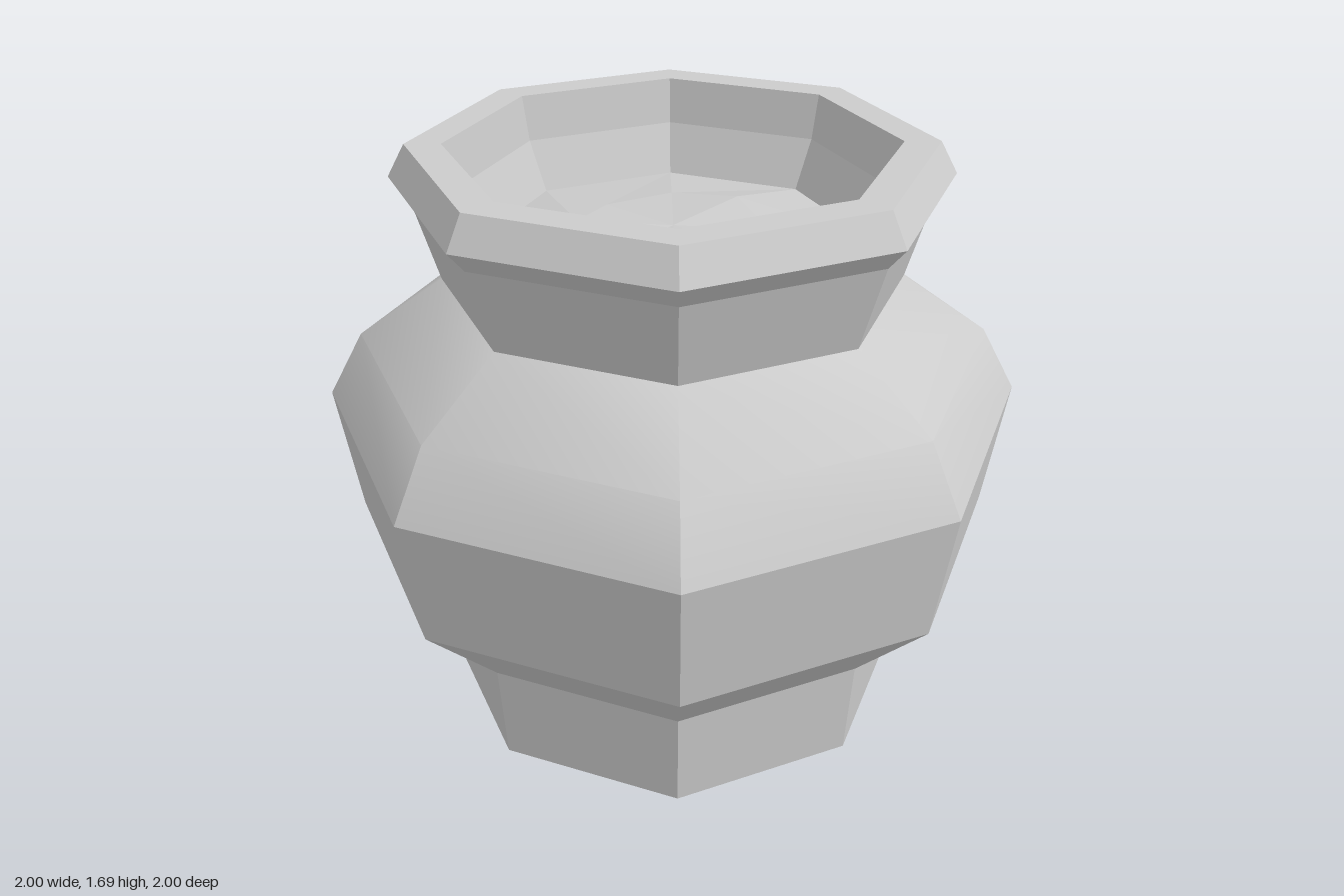
import * as THREE from 'three';
import { toCreasedNormals } from 'three/addons/utils/BufferGeometryUtils.js';

const SIDES = 8;

export function createModel() {
  const group = new THREE.Group();
  const flat = new THREE.MeshStandardMaterial({ color: 0xcccccc, flatShading: true });
  const smooth = new THREE.MeshStandardMaterial({ color: 0xcccccc });

  const add = (name, geometry, material = flat) => {
    const mesh = new THREE.Mesh(geometry, material);
    mesh.name = name;
    group.add(mesh);
  };
  // Eight-sided band from [radius, height] pairs
  const band = (profile) =>
    new THREE.LatheGeometry(profile.map(([r, y]) => new THREE.Vector2(r, y)), SIDES);

  add('foot', band([[0.7, 0], [0.72, 0.305]]));
  add('belly', band([[0.72, 0.305], [0.945, 0.555], [1, 0.94]]));

  // Shoulder is softly shaded, creased only at the steeper corners
  const shoulder = band([[1, 0.94], [0.895, 1.13], [0.65, 1.3]]);
  add('shoulder', toCreasedNormals(shoulder, Math.PI / 6), smooth);

  add('neck', band([[0.65, 1.3], [0.72, 1.54]]));
  add('rim', band([[0.72, 1.54], [0.77, 1.6], [0.72, 1.69], [0.62, 1.69]]));
  add('innerWall', band([[0.62, 1.69], [0.595, 1.56], [0.53, 1.42]]));

  // Underside
  const base = new THREE.CircleGeometry(0.7, SIDES);
  base.rotateX(Math.PI / 2);
  add('base', base);

  // Uneven contents: a low mound, bumpy around its middle ring
  const contents = new THREE.RingGeometry(0, 0.53, SIDES, 2);
  contents.rotateX(-Math.PI / 2);
  const pos = contents.attributes.position;
  for (let i = 0; i < pos.count; i++) {
    const x = pos.getX(i), z = pos.getZ(i);
    const r = Math.hypot(x, z);
    const mound = r > 0.5 ? 0 : 0.035 + 0.06 * r * Math.sin(3 * Math.atan2(z, x) + 0.6);
    pos.setY(i, 1.42 + mound);
  }
  add('contents', contents);

  return group;
}
